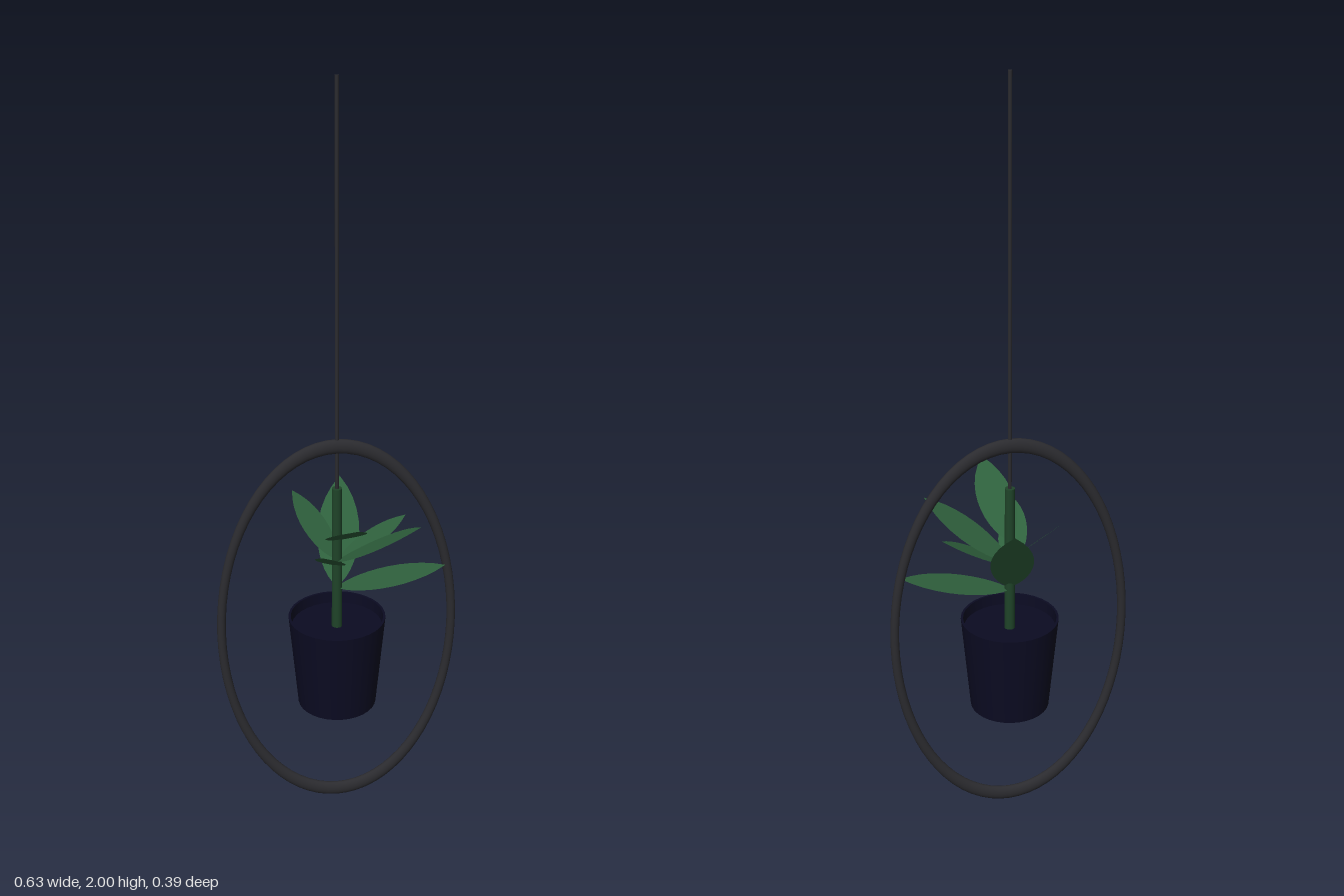
import * as THREE from 'three';

const Z = -0.028; // depth of the shared vertical axis

export function createModel() {
  const model = new THREE.Group();
  model.name = 'hangingPlant';

  const metal = new THREE.MeshStandardMaterial({ color: 0x2b2b2f });
  metal.name = 'dark metal';
  const navy = new THREE.MeshStandardMaterial({ color: 0x0b0b22, side: THREE.DoubleSide });
  navy.name = 'navy pot';
  const leafGreen = new THREE.MeshStandardMaterial({ color: 0x2f613d, side: THREE.DoubleSide });
  leafGreen.name = 'leaf green';
  const stemGreen = new THREE.MeshStandardMaterial({ color: 0x1f4429 });
  stemGreen.name = 'stem green';

  const add = (name, geometry, material, y = 0) => {
    const mesh = new THREE.Mesh(geometry, material);
    mesh.name = name;
    mesh.position.set(0, y, Z);
    model.add(mesh);
    return mesh;
  };

  // Oval hoop: a torus stretched upward
  const hoop = new THREE.TorusGeometry(0.3055, 0.0115, 16, 72);
  hoop.scale(1, 1.714, 1);
  add('hoop', hoop, metal, 0.544);

  // Suspension rod running down to the top of the stem
  add('rod', new THREE.CylinderGeometry(0.005, 0.005, 1.08, 12), metal, 1.46);

  // Tapered pot with a recessed filling
  const profile = [[0, 0.315], [0.104, 0.315], [0.128, 0.575], [0.122, 0.575], [0.12, 0.545], [0, 0.545]];
  const parts = [profile.slice(0, 2), profile.slice(1, 3), profile.slice(2, 4), profile.slice(3, 5), profile.slice(4, 6)];
  const names = ['potBase', 'potWall', 'potRim', 'potInside', 'potFilling'];
  parts.forEach((p, i) =>
    add(names[i], new THREE.LatheGeometry(p.map(([r, y]) => new THREE.Vector2(r, y)), 32), navy));

  // Stem
  add('stem', new THREE.CylinderGeometry(0.013, 0.014, 0.41, 12), stemGreen, 0.745);

  // Unit leaf outline along +y, pointed at the tip
  const w = 0.185;
  const outline = new THREE.Shape();
  outline.moveTo(0, 0);
  outline.bezierCurveTo(w * 0.9, 0.1, w * 1.75, 0.62, 0, 1);
  outline.bezierCurveTo(-w * 1.75, 0.62, -w * 0.9, 0.1, 0, 0);
  const leafGeometry = new THREE.ShapeGeometry(outline, 12);

  // Each leaf: height on the stem, then its tip
  const leaves = [
    [0.66, 0.283, 0.717, -0.01],
    [0.665, 0.03, 0.9, -0.2],
    [0.725, -0.055, 0.835, 0.127],
    [0.745, -0.103, 0.893, -0.145],
    [0.74, 0.197, 0.888, 0.095],
    [0.735, 0.185, 0.842, -0.067],
    [0.8, 0.02, 0.94, 0.195],
  ];
  const up = new THREE.Vector3(0, 1, 0);
  for (const [baseY, x, y, z] of leaves) {
    const along = new THREE.Vector3(x, y - baseY, z - Z);
    const length = along.length();
    along.normalize();
    const across = new THREE.Vector3().crossVectors(along, up).normalize();
    const normal = new THREE.Vector3().crossVectors(across, along);
    const leaf = add('leaf', leafGeometry, leafGreen, baseY);
    leaf.quaternion.setFromRotationMatrix(new THREE.Matrix4().makeBasis(across, along, normal));
    leaf.scale.setScalar(length);
  }

  return model;
}
